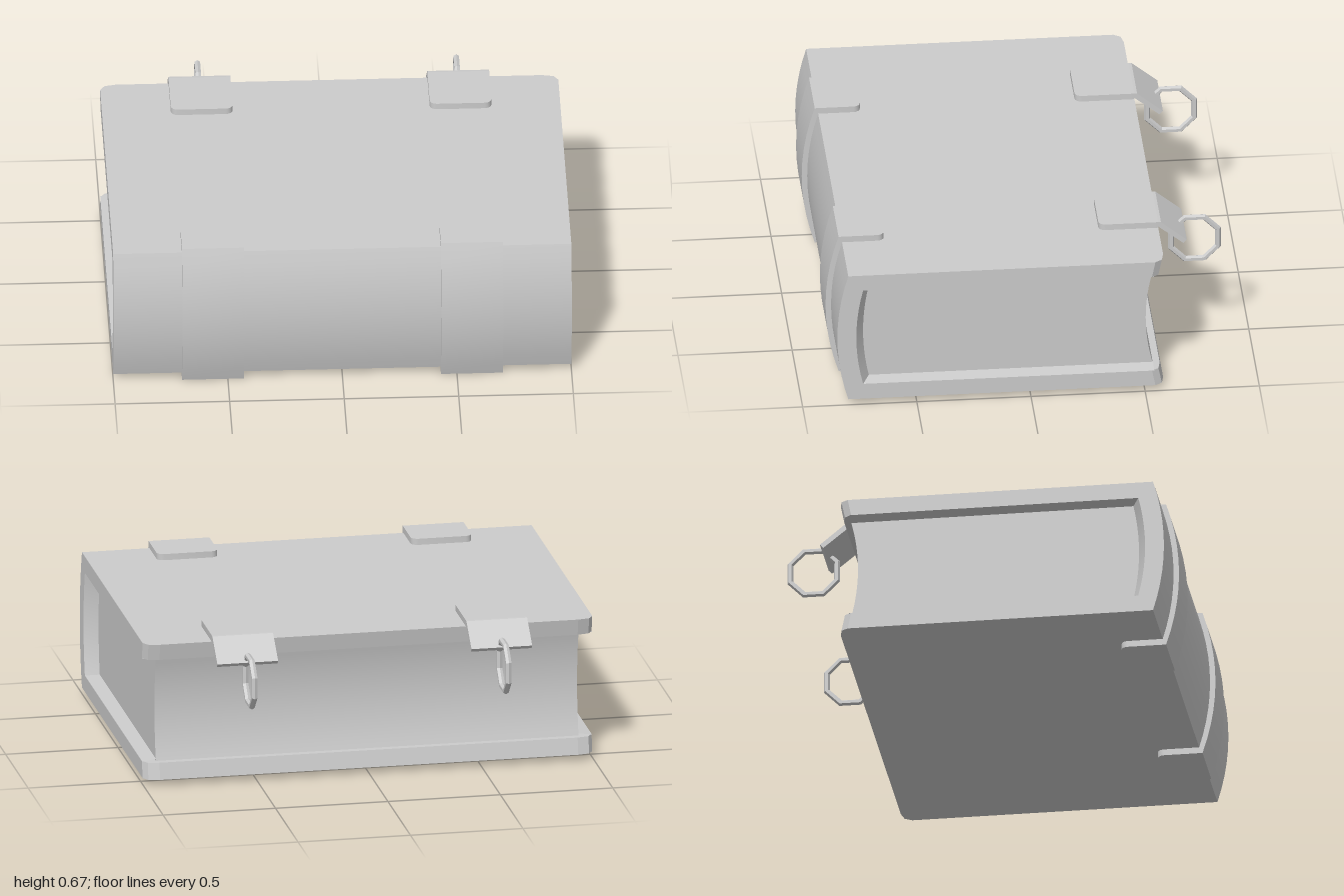
import * as THREE from 'three';
import { toCreasedNormals } from 'three/addons/utils/BufferGeometryUtils.js';

const MID = 0.34;      // height of the book's middle plane; parts are built around it
const HALF = 0.309;    // half height of the covers
const INNER = 0.235;   // half height of the space between the covers

const material = new THREE.MeshStandardMaterial({ color: 0xcccccc });
const doubleSided = new THREE.MeshStandardMaterial({ color: 0xcccccc, side: THREE.DoubleSide });

function addMesh(parent, name, geometry, mat = material) {
  const mesh = new THREE.Mesh(geometry, mat);
  mesh.name = name;
  parent.add(mesh);
  return mesh;
}

// Bowed curve of [z, y] points, from -h to h
function bow(zEnd, zMid, h, n = 10) {
  return Array.from({ length: n + 1 }, (_, i) => {
    const t = (i / n) * 2 - 1;
    return [zMid + (zEnd - zMid) * t * t, h * t];
  });
}

// Closed [z, y] profile extruded along x
function extrudeX(points, width) {
  const shape = new THREE.Shape(points.map(([z, y]) => new THREE.Vector2(-z, y)));
  const g = new THREE.ExtrudeGeometry(shape, { depth: width, bevelEnabled: false });
  g.translate(0, 0, -width / 2).rotateY(Math.PI / 2);
  return toCreasedNormals(g, 0.5);
}

// Plan outline of [x, z] points extruded upwards from y = 0
function extrudeUp(points, height) {
  const shape = new THREE.Shape(points.map(([x, z]) => new THREE.Vector2(x, -z)));
  const g = new THREE.ExtrudeGeometry(shape, { depth: height, bevelEnabled: false });
  return g.rotateX(-Math.PI / 2);
}

// Cover board with clipped back corners and a slanted back edge
function boardGeometry() {
  const right = [[1, 0.6], [1, -0.545], [0.98, -0.575], [0.93, -0.585]];
  const left = right.map(([x, z]) => [-x, z]).reverse();
  const g = extrudeUp([...right, ...left], HALF - INNER);
  const p = g.attributes.position;
  for (let i = 0; i < p.count; i++) {
    if (p.getY(i) < 0.01 && p.getZ(i) < -0.5) p.setZ(i, p.getZ(i) + 0.015);
  }
  g.translate(0, INNER, 0).computeVertexNormals();
  return g;
}

// Small plate with two rounded corners at zRound and a straight end at zFlat
function plateGeometry(zRound, zFlat) {
  const w = 0.135, r = 0.03, s = Math.sign(zFlat - zRound), side = [];
  for (let i = 0; i <= 4; i++) {
    const a = (i / 4) * Math.PI / 2;
    side.push([w - r + r * Math.cos(a), zRound + s * r * (1 - Math.sin(a))]);
  }
  const outline = [[w, zFlat], ...side, ...side.map(([x, z]) => [-x, z]).reverse(), [-w, zFlat]];
  return toCreasedNormals(extrudeUp(outline, 0.028).translate(0, HALF, 0), 0.5);
}

// Tapered lip running round the recessed end of the page block
function lipGeometry(side) {
  const loop = (zEnd, zMid, h) => [[-0.54, -h], ...bow(zEnd, zMid, h), [-0.54, h]];
  const outer = loop(0.735, 0.765, INNER);
  const inner = loop(0.705, 0.73, INNER - 0.01);
  const pos = [], index = [];
  outer.forEach(([z, y], i) => {
    pos.push(side, y, z, side * 0.94, inner[i][1], inner[i][0]);
    if (i) {
      const b = i * 2;
      index.push(b - 2, b - 1, b, b - 1, b + 1, b);
    }
  });
  const g = new THREE.BufferGeometry();
  g.setAttribute('position', new THREE.Float32BufferAttribute(pos, 3));
  g.setIndex(index);
  return toCreasedNormals(g, 0.5);
}

export function createModel() {
  const book = new THREE.Group();
  book.name = 'book';
  book.position.y = MID;

  // Covers: the lower board is the upper one turned over
  addMesh(book, 'topCover', boardGeometry());
  addMesh(book, 'bottomCover', boardGeometry().rotateZ(Math.PI));

  // Bowed spine, with short returns meeting the boards
  addMesh(book, 'spine', extrudeX([
    ...bow(0.8, 0.848, HALF),
    [0.6, HALF], [0.6, INNER],
    ...bow(0.735, 0.765, INNER).reverse(),
    [0.6, -INNER], [0.6, -HALF],
  ], 2));

  // Page block with a hollow fore-edge
  addMesh(book, 'pages', extrudeX([
    ...bow(0.705, 0.73, INNER),
    ...bow(-0.54, -0.508, INNER, 16).reverse(),
  ], 1.88));
  for (const side of [-1, 1]) addMesh(book, 'coverLip', lipGeometry(side), doubleSided);

  for (const side of [-1, 1]) {
    // Strap round the spine, ending in plates on both covers
    const strap = new THREE.Group();
    strap.name = 'spineStrap';
    strap.position.x = side * 0.565;
    addMesh(strap, 'strapBand', extrudeX([
      ...bow(0.815, 0.872, HALF + 0.028),
      [0.79, HALF + 0.028], [0.79, HALF],
      ...bow(0.795, 0.843, HALF).reverse(),
      [0.79, -HALF], [0.79, -HALF - 0.028],
    ], 0.27));
    addMesh(strap, 'strapTopEnd', plateGeometry(0.615, 0.79));
    addMesh(strap, 'strapBottomEnd', plateGeometry(0.615, 0.79).rotateZ(Math.PI));
    book.add(strap);

    // Clasp: plate, sloping flap and eight-sided ring
    const clasp = new THREE.Group();
    clasp.name = 'clasp';
    clasp.position.x = side * 0.565;
    addMesh(clasp, 'claspPlate', plateGeometry(-0.325, -0.585));
    addMesh(clasp, 'claspFlap', extrudeX([
      [-0.585, 0.337], [-0.585, 0.315], [-0.695, 0.227], [-0.71, 0.243], [-0.597, 0.336],
    ], 0.27));
    const ring = addMesh(clasp, 'claspRing', toCreasedNormals(
      new THREE.TorusGeometry(0.111, 0.014, 6, 8).rotateZ(Math.PI / 8).rotateY(Math.PI / 2), 0.5));
    ring.position.set(0, 0.513 - MID, -0.756);
    book.add(clasp);
  }

  const model = new THREE.Group();
  model.name = 'claspedBook';
  model.add(book);
  return model;
}
